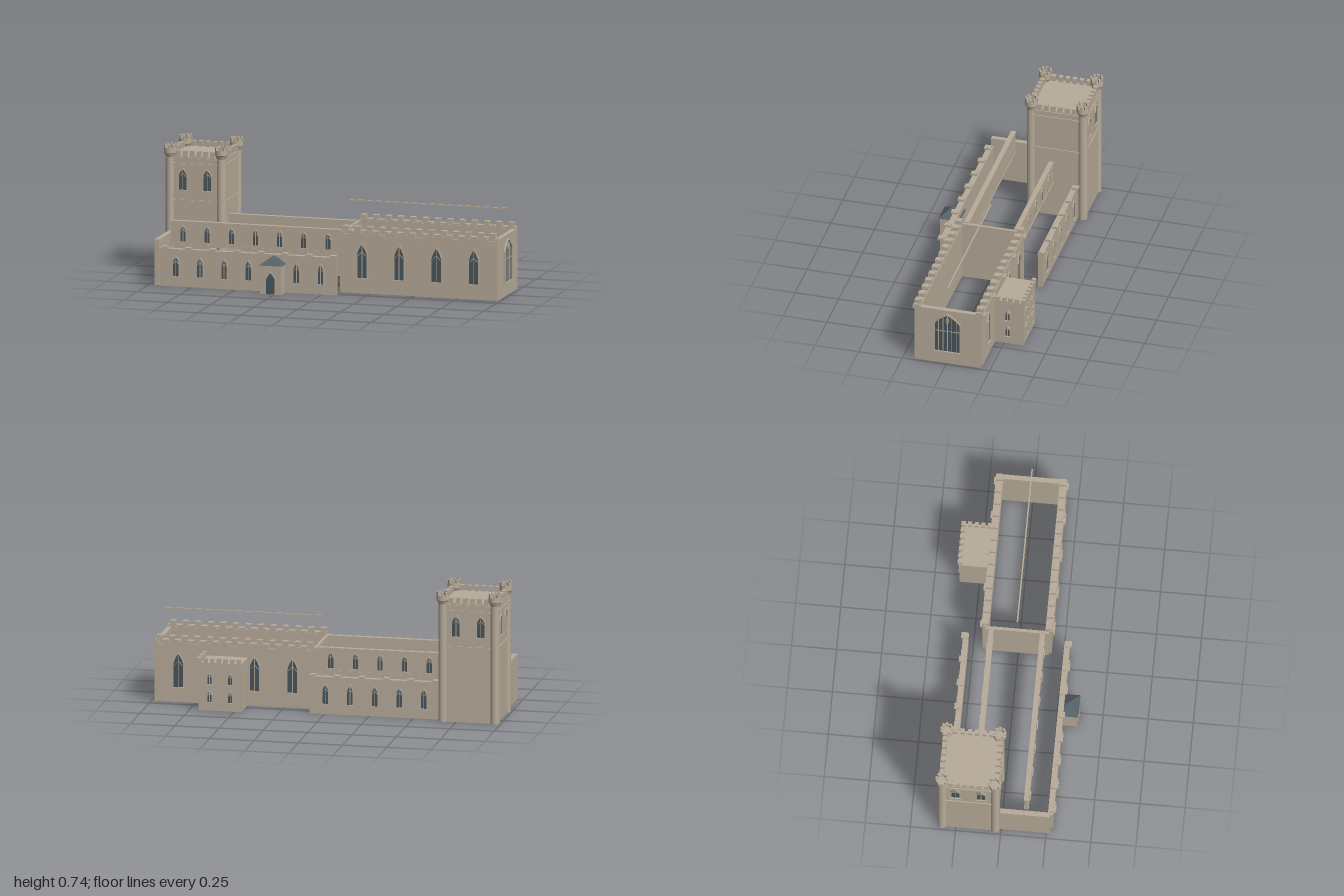
import * as THREE from 'three';

const stone = new THREE.MeshStandardMaterial({ color: 0xb8ac9a });
stone.name = 'stone';
const glass = new THREE.MeshStandardMaterial({ color: 0x4a565c });
glass.name = 'glass';
const slate = new THREE.MeshStandardMaterial({ color: 0x566169 });
slate.name = 'slate';

function add(parent, name, geo, mat, x = 0, y = 0, z = 0) {
  const m = new THREE.Mesh(geo, mat);
  m.name = name;
  m.position.set(x, y, z);
  parent.add(m);
  return m;
}

// box given by its min and max on each axis
function block(parent, name, x0, x1, y0, y1, z0, z1, mat = stone) {
  return add(parent, name, new THREE.BoxGeometry(x1 - x0, y1 - y0, z1 - z0), mat,
    (x0 + x1) / 2, (y0 + y1) / 2, (z0 + z1) / 2);
}

function part(parent, name) {
  const g = new THREE.Group();
  g.name = name;
  parent.add(g);
  return g;
}

// pointed arch outline standing on y = base
function arch(C, w, h, spring, base = 0) {
  const s = new C();
  s.moveTo(-w / 2, base);
  s.lineTo(w / 2, base);
  s.lineTo(w / 2, spring);
  s.quadraticCurveTo(w * 0.36, spring + (h - spring) * 0.52, 0, h);
  s.quadraticCurveTo(-w * 0.36, spring + (h - spring) * 0.52, -w / 2, spring);
  return s;
}

// window facing +z: pane, moulded frame, mullions, tracery and sill
function archWindow(parent, x, y, z, ry, w, h, lights = 2) {
  const g = part(parent, 'window');
  g.position.set(x, y, z);
  g.rotation.y = ry;
  const spring = h * (lights > 2 ? 0.74 : 0.68), t = 0.006;
  const outer = arch(THREE.Shape, w, h, spring);
  add(g, 'pane', new THREE.ShapeGeometry(outer, 6), glass, 0, 0, 0.002);
  outer.holes.push(arch(THREE.Path, w - 2 * t, h - t * 1.5, spring, t));
  add(g, 'frame', new THREE.ExtrudeGeometry(outer, { depth: 0.007, bevelEnabled: false, curveSegments: 6 }), stone);
  block(g, 'sill', -w / 2 - 0.003, w / 2 + 0.003, -0.003, 0.005, 0, 0.01);
  for (let i = 1; i < lights; i++) {
    const bx = -w / 2 + (w * i) / lights;
    const top = spring + (h - spring) * (1 - Math.abs(bx) / (w / 2)) * 0.85;
    block(g, 'mullion', bx - 0.0017, bx + 0.0017, 0, top, 0, 0.005);
  }
  if (lights > 2) {
    block(g, 'transom', -w / 2, w / 2, h * 0.54, h * 0.555, 0, 0.004);
    const d = new THREE.Shape([[0, 0.7], [0.07, 0.82], [0, 0.94], [-0.07, 0.82]]
      .map(([a, b]) => new THREE.Vector2(a * w, b * h)));
    d.holes.push(new THREE.Path([[0, 0.74], [-0.04, 0.82], [0, 0.9], [0.04, 0.82]]
      .map(([a, b]) => new THREE.Vector2(a * w, b * h))));
    add(g, 'tracery', new THREE.ExtrudeGeometry(d, { depth: 0.005, bevelEnabled: false }), stone);
  } else {
    for (const s of [-1, 1]) {
      const b = add(g, 'tracery', new THREE.BoxGeometry(0.003, w * 0.45, 0.004), stone, s * w * 0.2, spring, 0.003);
      b.rotation.z = s * 0.75;
    }
  }
}

// evenly spaced merlons between two points
function merlons(parent, x0, z0, x1, z1, n, y0, y1, wx, wz) {
  for (let i = 0; i < n; i++) {
    const t = n > 1 ? i / (n - 1) : 0;
    add(parent, 'merlon', new THREE.BoxGeometry(wx, y1 - y0, wz), stone,
      x0 + (x1 - x0) * t, (y0 + y1) / 2, z0 + (z1 - z0) * t);
  }
}

function buildTower(root) {
  const g = part(root, 'tower'), R = 0.16;
  g.position.set(-0.82, 0, -0.18);
  block(g, 'towerBody', -R, R, 0, 0.675, -R, R);
  for (const y of [0.425, 0.63, 0.663])
    block(g, 'stringCourse', -R - 0.006, R + 0.006, y - 0.005, y + 0.005, -R - 0.006, R + 0.006);
  // battlements on each side
  for (const s of [-1, 1]) {
    merlons(g, -0.1, s * 0.153, 0.1, s * 0.153, 6, 0.672, 0.706, 0.024, 0.026);
    merlons(g, s * 0.153, -0.1, s * 0.153, 0.1, 6, 0.672, 0.706, 0.026, 0.024);
  }
  // corner turrets with crowns
  const crown = [[0.026, 0.668], [0.033, 0.686], [0.036, 0.69], [0.036, 0.718], [0.024, 0.718], [0.024, 0.7], [0, 0.7]];
  for (const sx of [-1, 1]) for (const sz of [-1, 1]) {
    const t = part(g, 'turret');
    t.position.set(sx * 0.147, 0, sz * 0.147);
    add(t, 'shaft', new THREE.CylinderGeometry(0.026, 0.026, 0.69, 16), stone, 0, 0.345);
    const c = new THREE.LatheGeometry(crown.map(p => new THREE.Vector2(...p)), 16).toNonIndexed();
    c.computeVertexNormals();
    add(t, 'crown', c, stone);
    for (let i = 0; i < 8; i++) {
      const a = (i * Math.PI) / 4;
      const m = add(t, 'crownMerlon', new THREE.BoxGeometry(0.014, 0.022, 0.012), stone,
        Math.sin(a) * 0.03, 0.726, Math.cos(a) * 0.03);
      m.rotation.y = a;
    }
  }
  // belfry windows on front, back and west faces
  for (const u of [-0.07, 0.07]) {
    archWindow(g, u, 0.48, R, 0, 0.056, 0.13);
    archWindow(g, u, 0.48, -R, Math.PI, 0.056, 0.13);
    archWindow(g, -R, 0.48, u, -Math.PI / 2, 0.056, 0.13);
  }
}

function buildNave(root) {
  const g = part(root, 'nave'), step = 0.139;
  // clerestory walls, raised above the open arcade
  for (const [s, x0, z, n] of [[1, -0.914, 0.135, 7], [-1, -0.68, -0.15, 5]]) {
    block(g, 'clerestoryWall', x0, 0.07, 0.205, 0.338, z - 0.01, z + 0.01);
    block(g, 'clerestoryCoping', x0, 0.07, 0.334, 0.343, z - 0.014, z + 0.014);
    block(g, 'clerestoryString', x0, 0.07, 0.205, 0.212, z - 0.013, z + 0.013);
    for (let i = 0; i < n; i++)
      archWindow(g, -step * i - 0.005, 0.222, z + s * 0.01, s > 0 ? 0 : Math.PI, 0.042, 0.1);
  }
  // aisle walls with coping blocks
  for (const [s, x0, z, n] of [[1, -0.935, 0.272, 7], [-1, -0.68, -0.289, 5]]) {
    block(g, 'aisleWall', x0, 0.085, 0, 0.207, z - 0.013, z + 0.013);
    block(g, 'aisleCoping', x0, 0.085, 0.203, 0.211, z - 0.016, z + 0.016);
    for (let i = 0; i < n; i++)
      if (!(s > 0 && i === 2))
        archWindow(g, -step * i - 0.005, 0.052, z + s * 0.013, s > 0 ? 0 : Math.PI, 0.044, 0.122);
    merlons(g, 0.068, z + s * 0.008, 0.068 - step * n, z + s * 0.008, n + 1, 0.21, 0.223, 0.034, 0.036);
  }
  // west end wall of the aisle
  block(g, 'westWall', -0.968, -0.94, 0, 0.256, -0.02, 0.272);
}

function buildPorch(root) {
  const g = part(root, 'porch');
  block(g, 'porchBody', -0.33, -0.21, 0, 0.163, 0.28, 0.364);
  const roof = new THREE.ConeGeometry(Math.SQRT1_2, 1, 4, 1).toNonIndexed();
  roof.rotateY(Math.PI / 4);
  roof.scale(0.132, 0.05, 0.122);
  roof.computeVertexNormals();
  add(g, 'porchRoof', roof, slate, -0.27, 0.186, 0.31);
  const outer = arch(THREE.Shape, 0.062, 0.13, 0.085);
  add(g, 'door', new THREE.ShapeGeometry(outer, 6), glass, -0.27, 0, 0.366);
  outer.holes.push(arch(THREE.Path, 0.05, 0.12, 0.083, 0.001));
  add(g, 'doorFrame', new THREE.ExtrudeGeometry(outer, { depth: 0.006, bevelEnabled: false }), stone, -0.27, 0, 0.364);
}

function buildChancel(root) {
  const g = part(root, 'chancel');
  const xs = [0.203, 0.417, 0.632, 0.847];
  // four walls around an open interior
  block(g, 'westGableWall', 0.073, 0.09, 0, 0.34, -0.185, 0.17);
  block(g, 'eastWall', 0.958, 0.985, 0, 0.34, -0.18, 0.166);
  for (const [s, z] of [[1, 0.17], [-1, -0.184]]) {
    block(g, 'sideWall', 0.085, 0.983, 0, 0.335, z - 0.014, z + 0.014);
    block(g, 'parapet', 0.085, 0.983, 0.325, 0.352, z - 0.018, z + 0.018);
    block(g, 'cornice', 0.085, 0.983, 0.338, 0.344, z - 0.021, z + 0.021);
    merlons(g, 0.105, z, 0.955, z, 13, 0.35, 0.375, 0.032, 0.035);
    // corbels and end pinnacles
    for (const x of [0.107, 0.32, 0.534, 0.747, 0.95]) {
      block(g, 'corbel', x - 0.02, x + 0.02, 0.318, 0.332, z + s * 0.012 - 0.018, z + s * 0.012 + 0.018);
      block(g, 'corbelFoot', x - 0.01, x + 0.01, 0.305, 0.32, z + s * 0.01 - 0.014, z + s * 0.01 + 0.014);
    }
    for (const x of [0.105, 0.955])
      add(g, 'pinnacle', new THREE.ConeGeometry(0.006, 0.035, 6), stone, x, 0.368, z + s * 0.013);
    xs.forEach((x, i) => {
      if (s > 0 || i !== 2) archWindow(g, x, 0.08, z + s * 0.014, s > 0 ? 0 : Math.PI, 0.066, 0.205);
    });
  }
  // great east window
  archWindow(g, 0.985, 0.072, -0.005, Math.PI / 2, 0.152, 0.248, 6);
  // free-standing ridge beam
  block(g, 'ridgeBeam', 0.075, 0.978, 0.481, 0.488, -0.009, -0.001);
}

function buildVestry(root) {
  const g = part(root, 'vestry');
  block(g, 'vestryBody', 0.458, 0.698, 0, 0.265, -0.36, -0.19);
  block(g, 'vestryCornice', 0.455, 0.703, 0.26, 0.273, -0.366, -0.19);
  merlons(g, 0.472, -0.36, 0.696, -0.36, 7, 0.272, 0.298, 0.022, 0.024);
  merlons(g, 0.696, -0.324, 0.696, -0.214, 4, 0.272, 0.298, 0.024, 0.022);
  // two storeys of small windows
  for (const y of [0.043, 0.145]) {
    archWindow(g, 0.698, y, -0.27, Math.PI / 2, 0.036, 0.074);
    for (const x of [0.52, 0.636]) archWindow(g, x, y, -0.36, Math.PI, 0.036, 0.074);
  }
}

export function createModel() {
  const root = new THREE.Group();
  root.name = 'church';
  buildTower(root);
  buildNave(root);
  buildPorch(root);
  buildChancel(root);
  buildVestry(root);
  return root;
}
